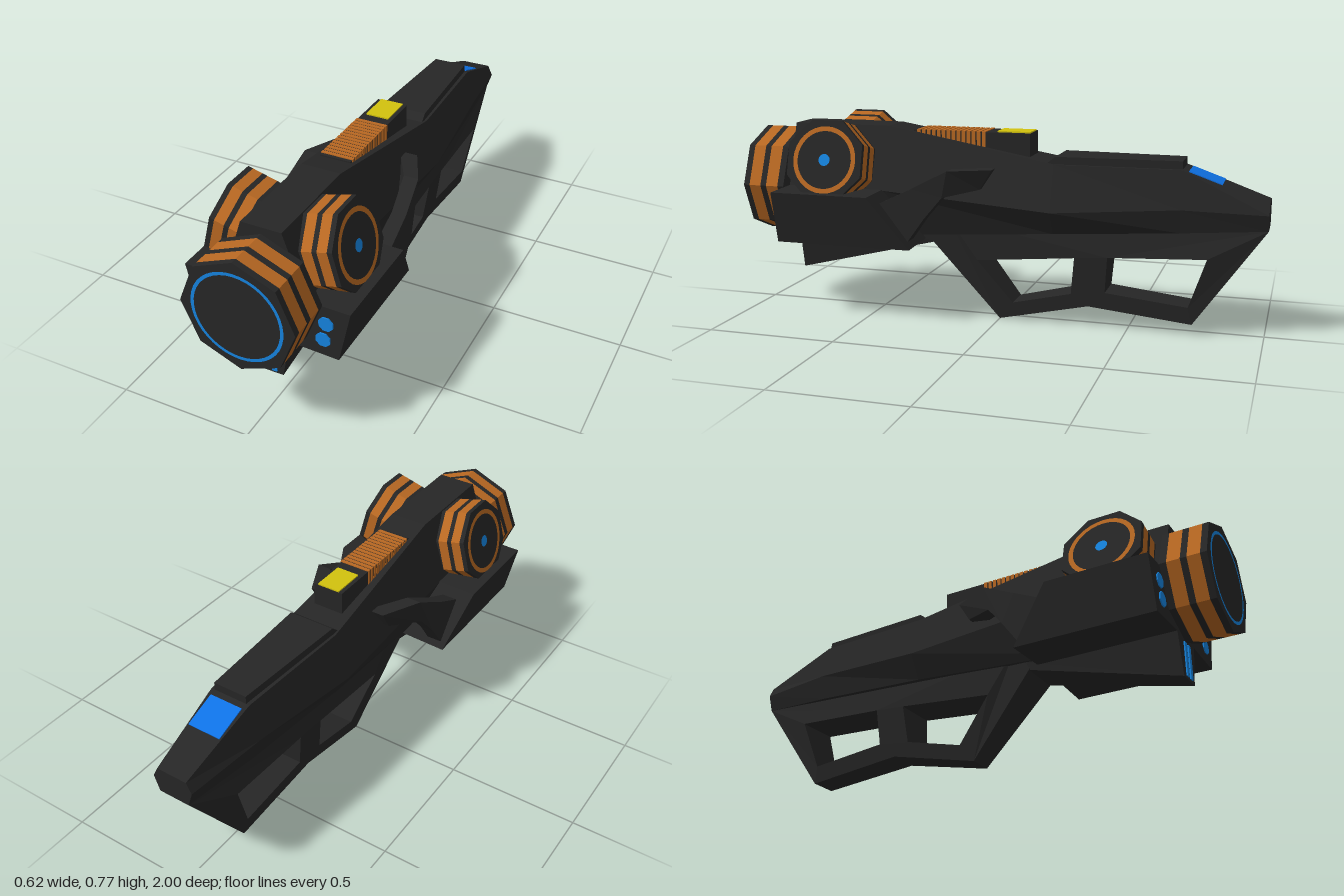
import * as THREE from 'three';

const mat = (name, color) => {
  const m = new THREE.MeshStandardMaterial({ color, flatShading: true });
  m.name = name;
  return m;
};

// Closed solid through rings of [x, y, z], ordered front to back, each counter-clockwise from +z
function loft(rings) {
  const pos = [];
  const tri = (...pts) => pts.forEach((p) => pos.push(...p));
  const n = rings[0].length;
  for (let i = 0; i < rings.length - 1; i++) {
    for (let j = 0; j < n; j++) {
      const k = (j + 1) % n;
      const [a, b, c, d] = [rings[i][j], rings[i][k], rings[i + 1][k], rings[i + 1][j]];
      tri(a, d, b);
      tri(d, c, b);
    }
  }
  const first = rings[0], last = rings[rings.length - 1];
  for (let k = 1; k < n - 1; k++) {
    tri(first[0], first[k], first[k + 1]);
    tri(last[0], last[k + 1], last[k]);
  }
  const g = new THREE.BufferGeometry();
  g.setAttribute('position', new THREE.Float32BufferAttribute(pos, 3));
  g.computeVertexNormals();
  return g;
}

const mirrorRings = (rings) => rings.map((r) => r.map(([x, y, z]) => [-x, y, z]).reverse());

export function createModel() {
  const root = new THREE.Group();
  root.name = 'blaster';
  const dark = mat('charcoal', 0x262626);
  const orange = mat('orange', 0xb86822);
  const blue = mat('lampBlue', 0x1584e0);
  const deepBlue = mat('panelBlue', 0x0f72e6);
  const yellow = mat('yellow', 0xd2c20e);

  const add = (parent, name, geo, material, x = 0, y = 0, z = 0) => {
    const m = new THREE.Mesh(geo, material);
    m.name = name;
    m.position.set(x, y, z);
    parent.add(m);
    return m;
  };
  const box = (name, w, h, d, material, x, y, z) =>
    add(root, name, new THREE.BoxGeometry(w, h, d), material, x, y, z);

  // Main body: z, then height and half width of top, middle and bottom
  const stations = [
    [0.83, 0.74, 0.075, 0.5, 0.155, 0.31, 0.085],
    [0.44, 0.74, 0.075, 0.5, 0.155, 0.315, 0.09],
    [-0.22, 0.622, 0.1, 0.45, 0.155, 0.36, 0.1],
    [-0.69, 0.62, 0.08, 0.48, 0.112, 0.39, 0.085],
    [-1, 0.51, 0.06, 0.47, 0.08, 0.41, 0.06],
  ];
  add(root, 'body', loft(stations.map(([z, yt, wt, ym, wm, yb, wb]) => [
    [-wb, yb, z], [wb, yb, z], [wm, ym, z], [wt, yt, z], [-wt, yt, z], [-wm, ym, z],
  ])), dark);

  // Lower frame with two hand openings, narrower towards the bottom
  const pts = (list) => list.map(([z, y]) => new THREE.Vector2(z, y));
  const outline = new THREE.Shape(pts([
    [0.26, 0.3], [0, 0], [-0.35, 0.08], [-0.74, 0.04], [-1, 0.41], [-0.69, 0.44], [0.2, 0.4],
  ].reverse()));
  outline.holes.push(
    new THREE.Path(pts([[0.08, 0.235], [-0.3, 0.27], [-0.285, 0.125], [-0.055, 0.07]])),
    new THREE.Path(pts([[-0.425, 0.28], [-0.79, 0.298], [-0.725, 0.107], [-0.415, 0.14]])),
  );
  const frame = new THREE.ExtrudeGeometry(outline, { depth: 1, bevelEnabled: false });
  const fp = frame.attributes.position;
  for (let i = 0; i < fp.count; i++) {
    const z = fp.getX(i), y = fp.getY(i);
    const half = z < -0.9 ? 0.06 : Math.min(0.048 + 0.15 * y, 0.085);
    fp.setXYZ(i, fp.getZ(i) > 0.5 ? -half : half, y, z);
  }
  frame.computeVertexNormals();
  add(root, 'gripFrame', frame, dark);

  // Wedge under the muzzle, with two light bars
  const keel = (z, yb, wb) => [[-wb, yb, z], [wb, yb, z], [0.085, 0.33, z], [-0.085, 0.33, z]];
  add(root, 'keel', loft([keel(0.83, 0.15, 0.05), keel(0.24, 0.3, 0.082)]), dark);
  for (const s of [-1, 1]) box('keelLight', 0.02, 0.13, 0.006, blue, s * 0.018, 0.225, 0.832);

  // Octagonal banded drum, its face at z = 0 and its body behind
  const drum = (name, r, len, turn) => {
    const g = new THREE.Group();
    g.name = name;
    const bands = [0, 0.14, 0.42, 0.56, 0.85, 1];
    for (let i = 0; i < 5; i++) {
      const d = (bands[i + 1] - bands[i]) * len;
      const geo = new THREE.CylinderGeometry(r, r, d, 8).rotateX(Math.PI / 2).rotateZ(turn);
      add(g, i % 2 ? 'orangeBand' : 'darkBand', geo, i % 2 ? orange : dark, 0, 0, -bands[i] * len - d / 2);
    }
    root.add(g);
    return g;
  };

  const muzzle = drum('muzzle', 0.21, 0.17, 0);
  muzzle.position.set(0, 0.505, 0.999);
  add(muzzle, 'muzzleRing', new THREE.RingGeometry(0.157, 0.169, 40), blue, 0, 0, 0.001);

  const podRing = (z, zLow) => [
    [0.05, 0.31, zLow], [0.265, 0.3, zLow], [0.31, 0.5, z], [0.05, 0.505, z],
  ];
  const pod = [podRing(0.83, 0.83), podRing(0.44, 0.29)];

  // Strut sections: inner x, outer x, top y and z, bottom y and z
  const strut = [
    [0.19, 0.25, 0.47, 0.41, 0.33, 0.3],
    [0.193, 0.248, 0.53, 0.285, 0.42, 0.235],
    [0.175, 0.232, 0.6, 0.15, 0.5, 0.17],
    [0.09, 0.16, 0.6, 0, 0.525, 0.045],
  ].map(([xi, xo, yt, zt, yb, zb]) => [[xi, yb, zb], [xo, yb, zb], [xo, yt, zt], [xi, yt, zt]]);

  for (const s of [1, -1]) {
    const side = s > 0 ? 'left' : 'right';
    const sided = (rings) => loft(s > 0 ? rings : mirrorRings(rings));
    add(root, side + 'Pod', sided(pod), dark);
    add(root, side + 'Strut', sided(strut), dark);

    // Pod headlights
    for (const [x, y] of [[0.222, 0.435], [0.21, 0.368]]) {
      const lamp = new THREE.CylinderGeometry(0.028, 0.028, 0.006, 8).rotateX(Math.PI / 2).rotateZ(Math.PI / 8);
      add(root, side + 'Lamp', lamp, blue, s * x, y, 0.832);
    }

    // Tilted side drum with ring and centre light
    const disc = drum(side + 'Drum', 0.163, 0.135, Math.PI / 8);
    disc.position.set(s * 0.241, 0.623, 0.635);
    disc.rotation.set(0, s * Math.PI / 2, s * 0.258, 'ZYX');
    add(disc, 'drumRing', new THREE.RingGeometry(0.11, 0.128, 32), orange, 0, 0, 0.001);
    add(disc, 'drumLight', new THREE.CircleGeometry(0.023, 16), blue, 0, 0, 0.001);
  }

  // Top rail with orange cooling slats and a yellow sight pad
  box('topRail', 0.12, 0.17, 0.46, dark, 0, 0.642, 0.11);
  for (let i = 0; i < 14; i++) {
    box('coolingSlat', 0.124, 0.14, 0.014, orange, 0, 0.66, 0.06 + i * 0.02);
  }
  box('sightPad', 0.09, 0.006, 0.128, yellow, 0, 0.729, -0.054);

  // Raised rear deck and blue panel on the rear slope
  const deck = (z, y, w) => [[-w, 0.6, z], [w, 0.6, z], [w, y, z], [-w, y, z]];
  add(root, 'rearDeck', loft([deck(-0.19, 0.622, 0.092), deck(-0.225, 0.65, 0.09), deck(-0.69, 0.65, 0.066)]), dark);
  const panel = add(root, 'rearPanel', new THREE.BoxGeometry(0.13, 0.006, 0.128), deepBlue, 0, 0.592, -0.772);
  panel.rotation.x = -Math.atan2(0.11, 0.31);
  panel.position.y = 0.62 - (0.082 * 0.11) / 0.31 + 0.001;

  return root;
}
